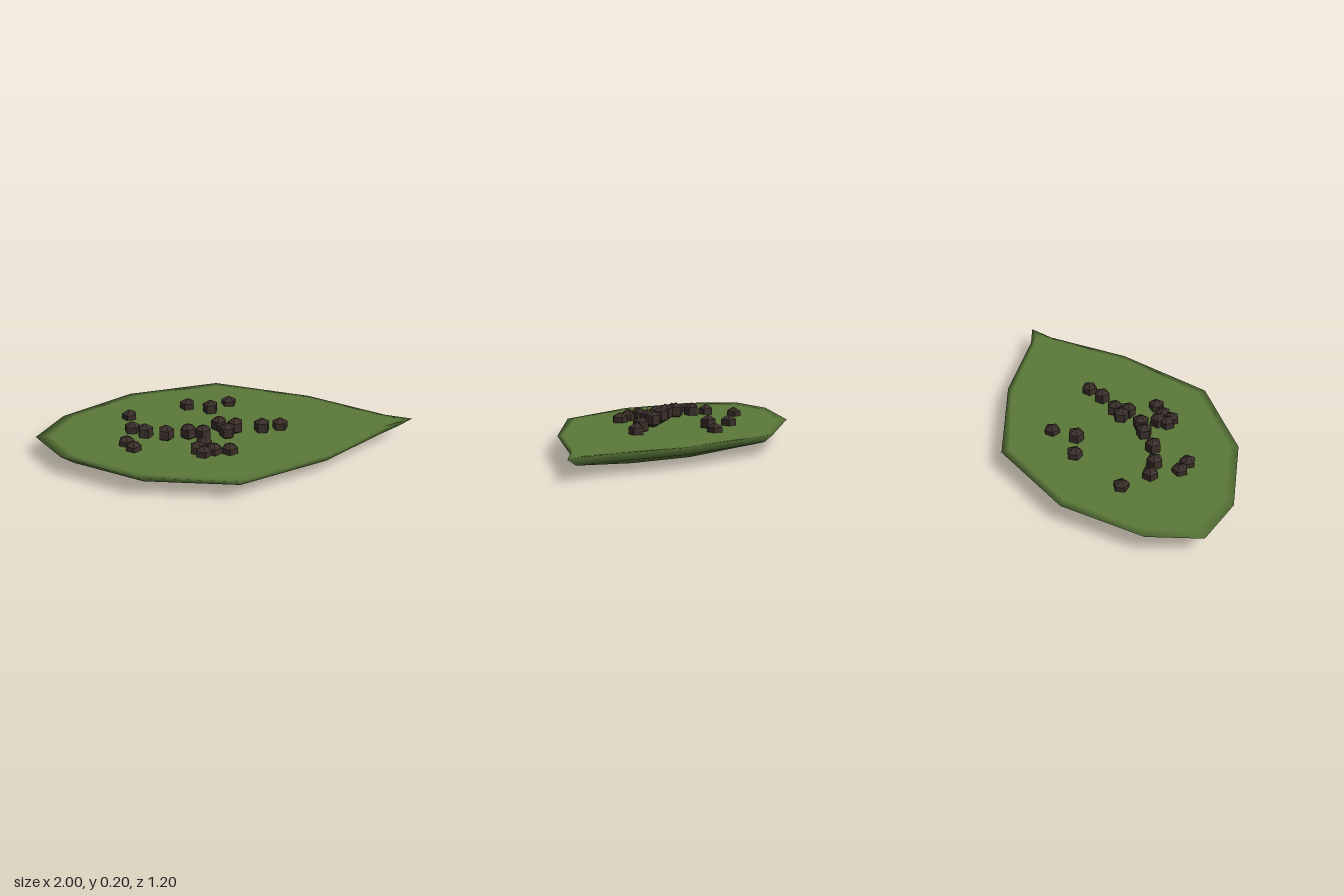
import * as THREE from 'three';
import { mergeVertices } from 'three/addons/utils/BufferGeometryUtils.js';

const RIM = 0.11;        // height of the flat top
const HALF_WIDTH = 0.6;

// Ellipsoid with a flattened top, narrowed to a point at +x
function leafGeometry() {
  let geo = new THREE.SphereGeometry(1, 12, 8);
  geo.deleteAttribute('uv');
  geo.deleteAttribute('normal');
  geo = mergeVertices(geo, 1e-4);
  const p = geo.attributes.position;
  for (let i = 0; i < p.count; i++) {
    const x = p.getX(i), a = Math.min(1, Math.abs(x));
    const taper = x > 0 ? 1 - a ** 1.7 : 1 - 0.3 * a ** 3;
    p.setXYZ(i, x, RIM + Math.min(0, p.getY(i)) * (RIM - 0.003), p.getZ(i) * HALF_WIDTH * taper);
  }
  geo.computeVertexNormals();
  return geo;
}

// Each berry: x, z, height of its top
const BERRIES = [
  [-0.51, -0.18, 0.16], [-0.19, -0.28, 0.167], [-0.07, -0.215, 0.18], [0.04, -0.3, 0.16],
  [-0.5, -0.015, 0.167], [-0.435, 0.045, 0.18], [-0.33, 0.095, 0.19], [-0.535, 0.135, 0.16],
  [-0.5, 0.2, 0.16], [-0.215, 0.105, 0.197], [-0.14, 0.125, 0.197], [-0.05, 0.055, 0.208],
  [0.035, 0.06, 0.197], [-0.015, 0.115, 0.195], [0.175, 0.055, 0.185], [0.275, 0.03, 0.17],
  [-0.145, 0.225, 0.177], [-0.18, 0.26, 0.17], [-0.155, 0.3, 0.165], [-0.1, 0.28, 0.167],
  [-0.02, 0.285, 0.165],
];

export function createModel() {
  const model = new THREE.Group();
  model.name = 'leafPlate';

  const leaf = new THREE.Mesh(leafGeometry(), new THREE.MeshStandardMaterial({ color: 0x5c7a3a }));
  leaf.name = 'leaf';
  model.add(leaf);

  // Scattered five-sided berries
  const berries = new THREE.Group();
  berries.name = 'berries';
  const r = 0.048;
  const berryGeo = new THREE.SphereGeometry(r, 5, 3);
  const berryMat = new THREE.MeshStandardMaterial({ color: 0x3a2f2a, flatShading: true });
  BERRIES.forEach(([x, z, top], i) => {
    const berry = new THREE.Mesh(berryGeo, berryMat);
    berry.name = 'berry' + (i + 1);
    berry.position.set(x, top - r, z);
    berry.rotation.y = i * 2.4;
    berries.add(berry);
  });
  model.add(berries);

  return model;
}
